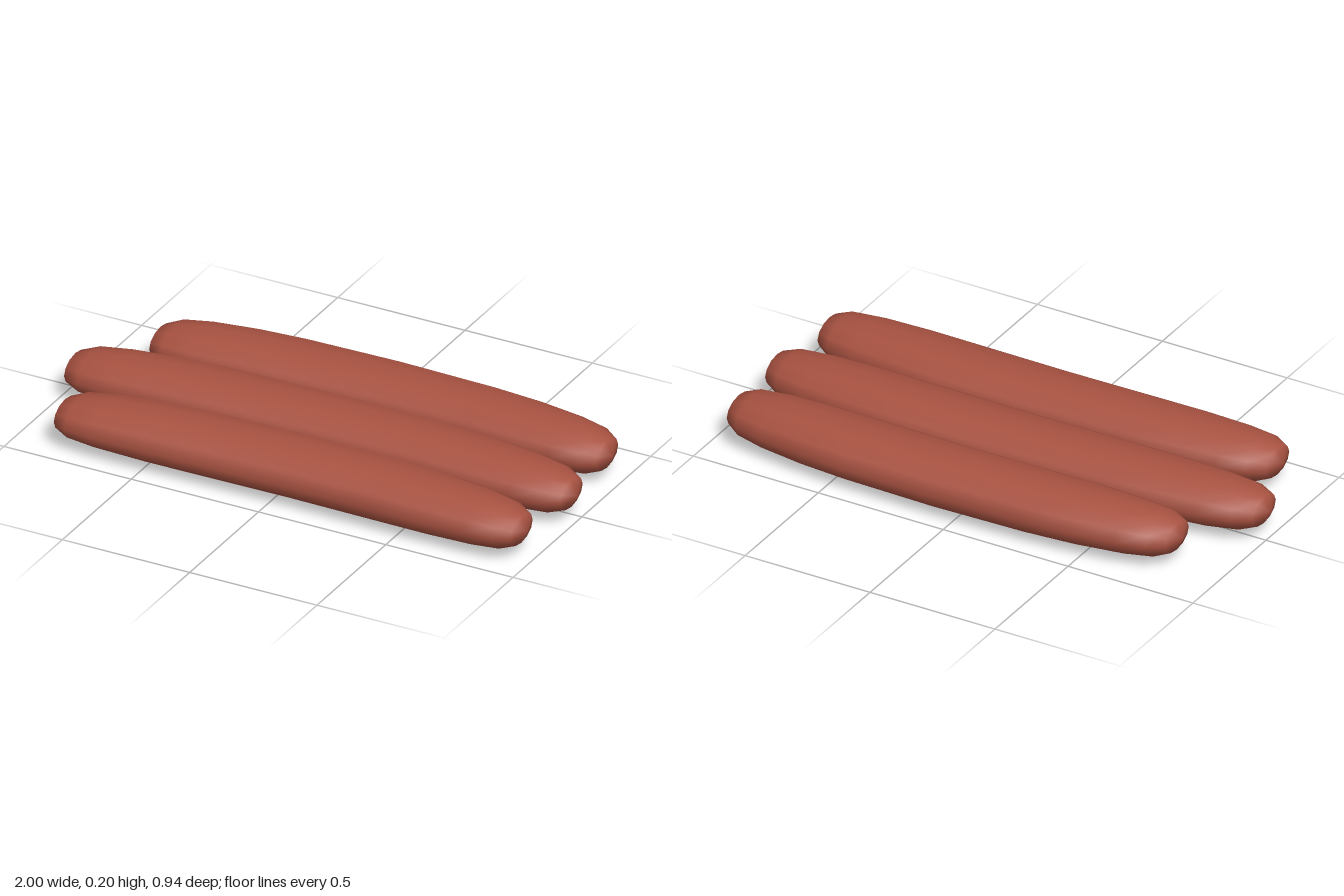
import * as THREE from 'three';
import { mergeVertices } from 'three/addons/utils/BufferGeometryUtils.js';

const HALF_HEIGHT = 0.098;
const HALF_WIDTH = 0.156;
const BEND = 0.04;

// Half profile from the middle to the tip: [position along length, relative radius]
const HALF_PROFILE = [[0, 1], [0.4, 0.99], [0.6, 0.96], [0.79, 0.88], [0.91, 0.76], [0.974, 0.53], [1, 0]];

// A twelve-sided oval sausage lying along x, its ends bending gently towards +z
function sausageGeometry(halfLength) {
  const left = HALF_PROFILE.slice(1).reverse().map(([t, r]) => new THREE.Vector2(r, -t));
  const right = HALF_PROFILE.map(([t, r]) => new THREE.Vector2(r, t));
  let geometry = new THREE.LatheGeometry([...left, ...right], 12);
  geometry.rotateZ(-Math.PI / 2);
  geometry.scale(halfLength, HALF_HEIGHT, HALF_WIDTH);

  const position = geometry.attributes.position;
  for (let i = 0; i < position.count; i++) {
    const t = position.getX(i) / halfLength;
    position.setZ(i, position.getZ(i) + BEND * t * t);
  }

  // Weld the seam so the skin shades smoothly all round
  geometry.deleteAttribute('uv');
  geometry.deleteAttribute('normal');
  geometry = mergeVertices(geometry, 1e-4);
  geometry.computeVertexNormals();
  return geometry;
}

export function createModel() {
  const model = new THREE.Group();
  model.name = 'sausages';
  const skin = new THREE.MeshStandardMaterial({ color: 0xa85241 });
  skin.name = 'sausage brown';

  // name, left end x, right end x, z of the middle
  const sausages = [
    ['backSausage', -0.83, 0.97, -0.318],
    ['middleSausage', -1, 1, -0.009],
    ['frontSausage', -0.87, 0.97, 0.302],
  ];
  for (const [name, x0, x1, z] of sausages) {
    const mesh = new THREE.Mesh(sausageGeometry((x1 - x0) / 2), skin);
    mesh.name = name;
    mesh.position.set((x0 + x1) / 2, 0.1, z);
    model.add(mesh);
  }
  return model;
}
